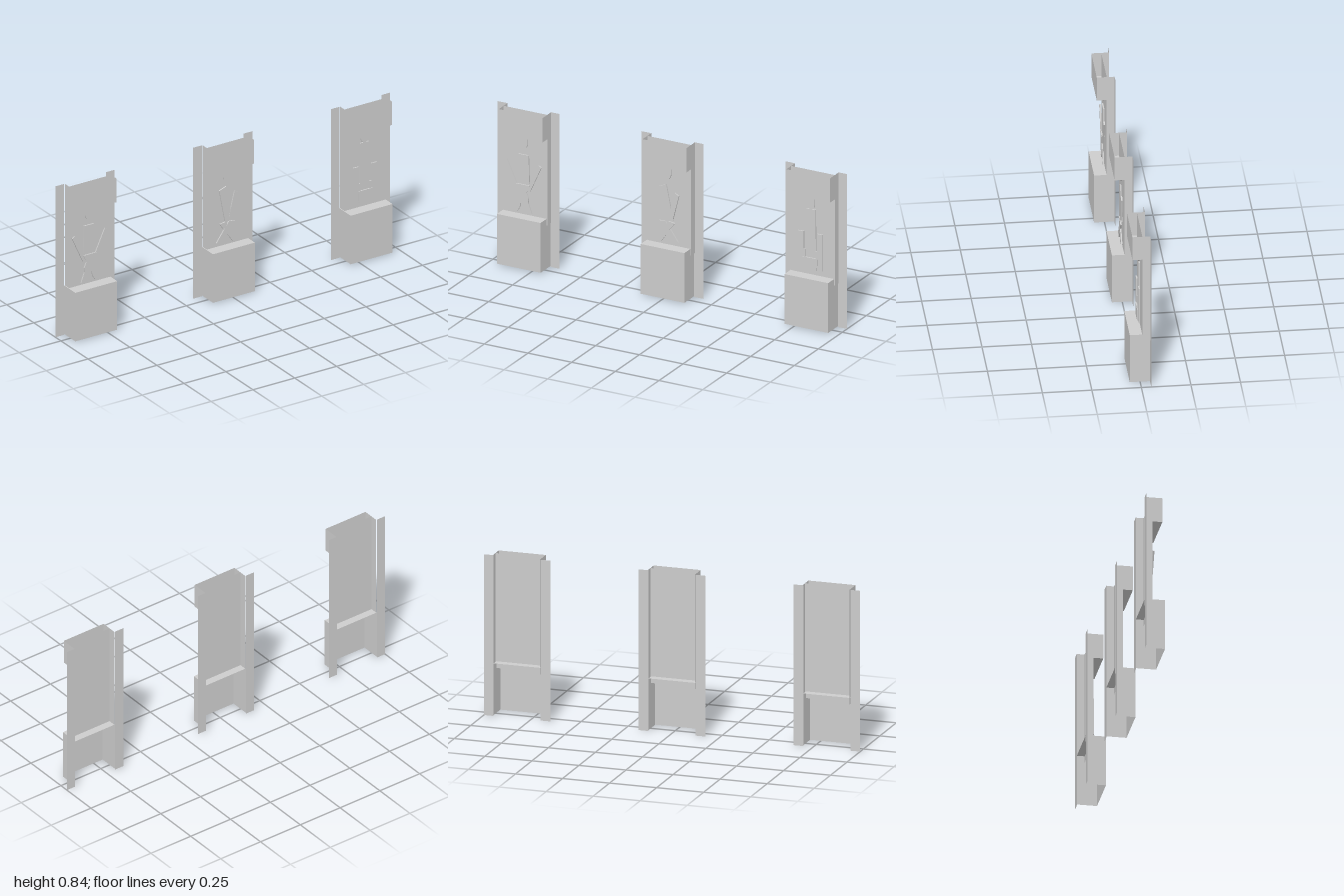
import * as THREE from 'three';

const grey = new THREE.MeshStandardMaterial({ color: 0xcccccc, side: THREE.DoubleSide });
grey.name = 'plain grey';

const BACK = -0.05; // plane of the side flanges and open backs

// Flat rectangle between two opposite corners; one axis has zero extent
function sheet(name, [x0, y0, z0], [x1, y1, z1]) {
  const w = x1 - x0, h = y1 - y0, d = z1 - z0;
  let geo;
  if (d === 0) geo = new THREE.PlaneGeometry(w, h);
  else if (w === 0) geo = new THREE.PlaneGeometry(d, h).rotateY(Math.PI / 2);
  else geo = new THREE.PlaneGeometry(w, d).rotateX(-Math.PI / 2);
  const mesh = new THREE.Mesh(geo, grey);
  mesh.position.set((x0 + x1) / 2, (y0 + y1) / 2, (z0 + z1) / 2);
  mesh.name = name;
  return mesh;
}

// Front sheet with two side walls folded back to the flange plane
function channel(name, x0, x1, y0, y1, front) {
  const g = new THREE.Group();
  g.name = name;
  g.add(sheet(name + 'Front', [x0, y0, front], [x1, y1, front]));
  for (const x of [x0, x1]) g.add(sheet(name + 'Side', [x, y0, BACK], [x, y1, front]));
  return g;
}

// One niche: flanges, pedestal, recessed panel and lintel
function niche() {
  const g = new THREE.Group();
  g.name = 'niche';
  for (const s of [-1, 1]) {
    const a = s * 0.125, b = s * 0.177;
    g.add(sheet('flange', [Math.min(a, b), 0, BACK], [Math.max(a, b), 0.84, BACK]));
  }
  g.add(channel('pedestal', -0.125, 0.125, 0.005, 0.275, 0.053));
  g.add(sheet('pedestalTop', [-0.125, 0.275, BACK], [0.125, 0.275, 0.053]));
  g.add(channel('recess', -0.121, 0.129, 0.24, 0.84, -0.01));
  g.add(channel('lintel', -0.121, 0.129, 0.708, 0.84, 0.04));
  g.add(sheet('lintelUnderside', [-0.121, 0.708, -0.01], [0.129, 0.708, 0.04]));
  return g;
}

// Thin relief plate from an outline of x, y pairs
function plate(name, points, top = 0, mirror = 1) {
  const shape = new THREE.Shape(points.map(([x, y]) => new THREE.Vector2(x * mirror, y)));
  const geo = new THREE.ExtrudeGeometry(shape, { depth: 0.007, bevelEnabled: false });
  const mesh = new THREE.Mesh(geo, grey);
  mesh.position.z = top - 0.007;
  mesh.name = name;
  return mesh;
}

// Small rounded pendant at the top of each niche
function pendant() {
  const pts = [[-0.022, 0.7]];
  for (let i = 0; i <= 6; i++) {
    const a = Math.PI + (i / 6) * Math.PI;
    pts.push([0.022 * Math.cos(a), 0.655 + 0.025 * Math.sin(a)]);
  }
  pts.push([0.022, 0.7]);
  return plate('head', pts, -0.002);
}

// Relief with raised arms and spread feet
function raisedArms() {
  const g = new THREE.Group();
  g.add(pendant());
  g.add(plate('torso', [[-0.03, 0.6], [0.03, 0.6], [0.035, 0.44], [-0.035, 0.44]], -0.003));
  g.add(plate('hips', [[-0.04, 0.44], [0.04, 0.44], [0.022, 0.4], [0.034, 0.37], [0.03, 0.34],
    [-0.03, 0.34], [-0.034, 0.37], [-0.022, 0.4]], 0.004));
  for (const s of [-1, 1]) {
    g.add(plate('arm', [[0.03, 0.43], [0.09, 0.56], [0.105, 0.55], [0.04, 0.405], [0.012, 0.395]], 0.002, s));
    g.add(plate('foot', [[0.01, 0.345], [0.03, 0.345], [0.05, 0.29], [0.036, 0.285], [0.02, 0.31]], 0, s));
  }
  return g;
}

// Relief with slanted body and crossed legs
function crossedLegs() {
  const g = new THREE.Group();
  g.add(pendant());
  g.add(plate('torso', [[-0.045, 0.585], [-0.005, 0.6], [0.035, 0.41], [-0.01, 0.4]], -0.003));
  g.add(plate('arm', [[0.045, 0.565], [0.068, 0.55], [0.035, 0.42], [0.012, 0.43]], -0.001));
  g.add(plate('leg', [[-0.045, 0.4], [-0.01, 0.405], [0.065, 0.3], [0.035, 0.285]], 0));
  g.add(plate('leg', [[-0.045, 0.4], [-0.01, 0.405], [0.065, 0.3], [0.035, 0.285]], 0.001, -1));
  return g;
}

// Relief with squared, upturned arms
function squaredArms() {
  const g = new THREE.Group();
  g.add(pendant());
  g.add(plate('torso', [[-0.026, 0.63], [0.026, 0.63], [0.03, 0.37], [-0.03, 0.37]], -0.003));
  g.add(plate('base', [[-0.042, 0.37], [0.042, 0.37], [0.038, 0.305], [-0.038, 0.305]], 0.006));
  for (const s of [-1, 1]) {
    g.add(plate('arm', [[0.038, 0.505], [0.07, 0.505], [0.07, 0.308], [0.036, 0.308], [0.036, 0.37],
      [0.028, 0.37], [0.028, 0.41], [0.038, 0.41]], 0.002, s));
  }
  return g;
}

export function createModel() {
  const model = new THREE.Group();
  model.name = 'threeNiches';
  const reliefs = [raisedArms, crossedLegs, squaredArms];
  reliefs.forEach((build, i) => {
    const bay = new THREE.Group();
    bay.name = 'bay';
    const relief = build();
    relief.name = 'reliefFigure';
    relief.position.x = -0.005;
    bay.add(niche(), relief);
    bay.position.x = (i - 1) * 0.823;
    model.add(bay);
  });
  return model;
}
